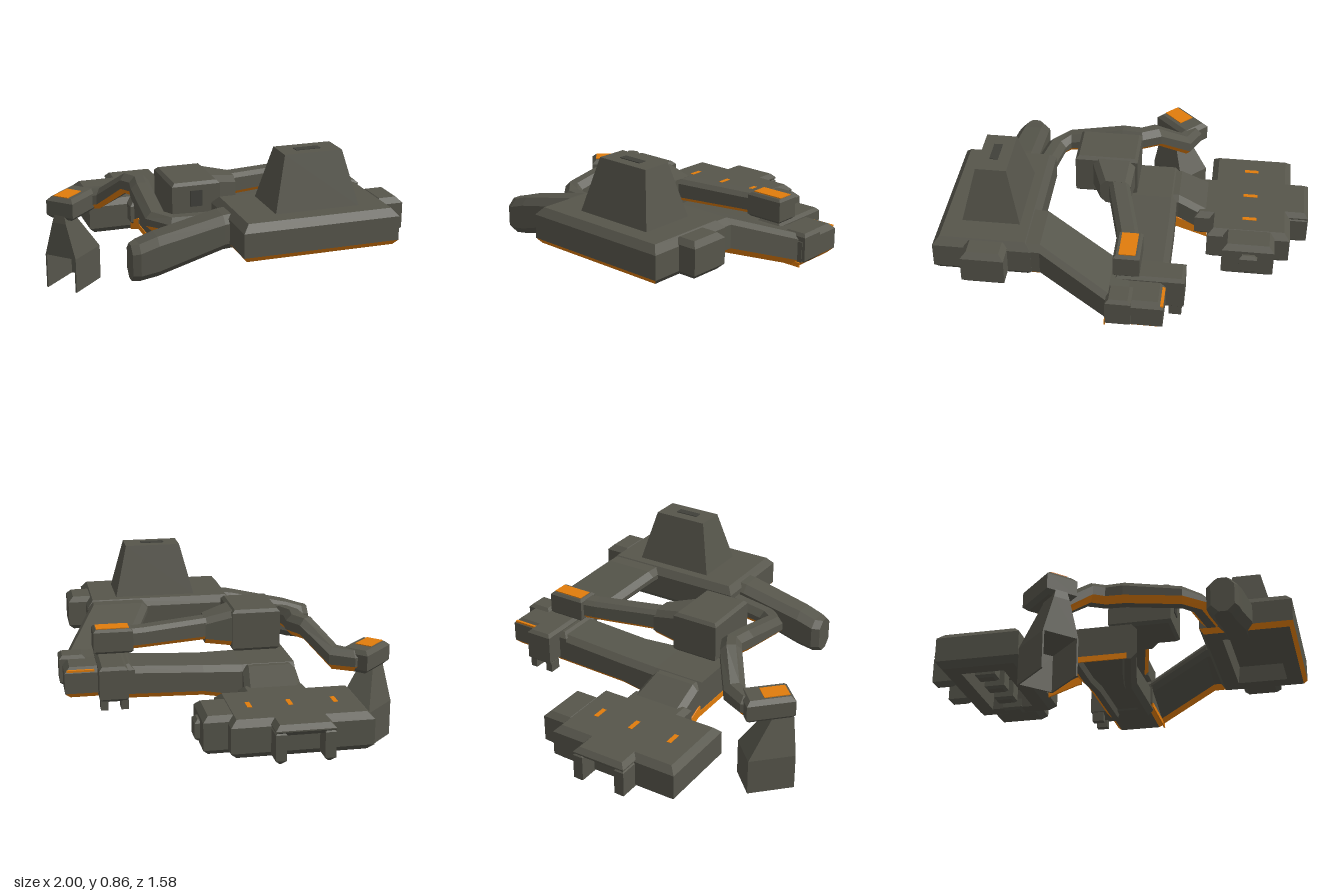
import * as THREE from 'three';

export function createModel() {
  const grey = new THREE.MeshStandardMaterial({ color: 0x56554b });
  grey.name = 'warm dark grey';
  const orange = new THREE.MeshStandardMaterial({ color: 0xe07c0c });
  orange.name = 'orange';
  const dark = new THREE.MeshStandardMaterial({ color: 0x40403a });
  dark.name = 'slot grey';
  const V = (x, y, z) => new THREE.Vector3(x, y, z);

  const model = new THREE.Group();
  model.name = 'foldedMachine';
  // Most parts lie on a grid turned by 45 degrees
  const turned = new THREE.Group();
  turned.name = 'diagonalAssembly';
  turned.rotation.y = -Math.PI / 4;
  model.add(turned);

  // Skin a row of closed loops; isOrange(band, side) picks the colour of each facet
  function loft(name, loops, isOrange = () => false, parent = turned) {
    const tris = [[], []];
    const n = loops[0].length;
    for (let i = 0; i < loops.length - 1; i++) {
      for (let j = 0; j < n; j++) {
        const k = (j + 1) % n, A = loops[i], B = loops[i + 1];
        tris[isOrange(i, j) ? 1 : 0].push([A[j], A[k], B[k]], [A[j], B[k], B[j]]);
      }
    }
    const cap = (loop, flip) => {
      const nor = V(0, 0, 0);
      loop.forEach((p, i) => nor.add(p.clone().cross(loop[(i + 1) % n])));
      nor.normalize();
      const u = (Math.abs(nor.y) > 0.9 ? V(1, 0, 0) : V(0, 1, 0)).cross(nor).normalize();
      const v = nor.clone().cross(u);
      const flat = loop.map(p => new THREE.Vector2(p.dot(u), p.dot(v)));
      for (const [a, b, c] of THREE.ShapeUtils.triangulateShape(flat, [])) {
        tris[0].push(flip ? [loop[a], loop[c], loop[b]] : [loop[a], loop[b], loop[c]]);
      }
    };
    cap(loops[0], true);
    cap(loops[loops.length - 1], false);
    // Turn the skin inside out when its volume is negative
    let volume = 0;
    tris.flat().forEach(([a, b, c]) => { volume += a.dot(b.clone().cross(c)); });
    const pos = [], geo = new THREE.BufferGeometry();
    tris.forEach((list, m) => {
      geo.addGroup(pos.length / 3, list.length * 3, m);
      list.forEach(([a, b, c]) => (volume < 0 ? [a, c, b] : [a, b, c]).forEach(p => pos.push(p.x, p.y, p.z)));
    });
    geo.setAttribute('position', new THREE.Float32BufferAttribute(pos, 3));
    geo.computeVertexNormals();
    const mesh = new THREE.Mesh(geo, [grey, orange]);
    mesh.name = name;
    parent.add(mesh);
  }

  // Rectangle [x0, x1, z0, z1] stacked through levels of [height, inset]
  const slab = (name, [x0, x1, z0, z1], levels, isOrange, parent) =>
    loft(name, levels.map(([y, d]) => [
      V(x0 + d, y, z0 + d), V(x1 - d, y, z0 + d), V(x1 - d, y, z1 - d), V(x0 + d, y, z1 - d),
    ]), isOrange, parent);
  // Block with chamfered top and bottom edges
  const block = (name, rect, y0, y1, c = 0.025, isOrange, parent) =>
    slab(name, rect, [[y0, c], [y0 + c, 0], [y1 - c, 0], [y1, c]], isOrange, parent);

  // Chamfered beam through stations [ax, az, bx, bz, bottom, top].
  // Underside is flat, grooved (channel) or climbs towards the b side behind a small lip (rise).
  function beam(name, stations, { c = 0.028, orangeAt, channel = 0, rise = 0, parent } = {}) {
    const loops = stations.map(([ax, az, bx, bz, y0, y1]) => {
      const L = Math.hypot(bx - ax, bz - az);
      const P = (t, y) => V(ax + (bx - ax) * t / L, y, az + (bz - az) * t / L);
      const under = channel
        ? [P(0.06, y0), P(0.07, y0 + channel), P(L - 0.07, y0 + channel), P(L - 0.06, y0)]
        : rise ? [P(c + 0.02, y0 + c)] : [];
      return [P(0, y0 + c), P(c, y0), ...under, P(L - c, y0 + rise), P(L, y0 + c + rise),
        P(L, y1 - c), P(L - c, y1), P(c, y1), P(0, y1 - c)];
    });
    loft(name, loops, orangeAt, parent);
  }
  // Slim beam along centre points [x, z, bottom, top], orange on both lower edges
  function arm(name, pts, width, options) {
    beam(name, pts.map(([x, z, y0, y1], i) => {
      const p = pts[Math.max(i - 1, 0)], q = pts[Math.min(i + 1, pts.length - 1)];
      const L = Math.hypot(q[0] - p[0], q[1] - p[1]);
      const nx = -(q[1] - p[1]) / L * width / 2, nz = (q[0] - p[0]) / L * width / 2;
      return [x - nx, z - nz, x + nx, z + nz, y0, y1];
    }), { orangeAt: (i, j) => j === 0 || j === 2, ...options });
  }
  const box = (name, mat, [x0, x1, y0, y1, z0, z1], parent = turned) => {
    const m = new THREE.Mesh(new THREE.BoxGeometry(x1 - x0, y1 - y0, z1 - z0), mat);
    m.position.set((x0 + x1) / 2, (y0 + y1) / 2, (z0 + z1) / 2);
    m.name = name;
    parent.add(m);
  };

  // Upper hull with a hollow underside, end tab and tower
  slab('upperHull', [0.31, 0.77, -0.645, 0.11],
    [[0.52, 0.11], [0.43, 0.1], [0.43, 0.02], [0.455, 0], [0.57, 0], [0.605, 0.03]],
    (i, j) => i === 2 && (j === 1 || j === 2));
  block('hullEndTab', [0.42, 0.62, -0.735, -0.6], 0.43, 0.603);
  slab('tower', [0.385, 0.66, -0.49, -0.08], [[0.6, 0], [0.86, 0.065]]);
  box('towerSlot', dark, [0.505, 0.545, 0.858, 0.863, -0.34, -0.22]);

  // Sloping boom in front of the hull
  beam('frontBoom', [
    [0.405, 0.0, 0.575, 0.0, 0.43, 0.6],
    [0.405, 0.13, 0.575, 0.13, 0.42, 0.585],
    [0.412, 0.44, 0.568, 0.44, 0.325, 0.515],
    [0.415, 0.525, 0.565, 0.525, 0.31, 0.487],
    [0.44, 0.56, 0.55, 0.56, 0.31, 0.48],
  ], { c: 0.035 });

  // Link from the hull down to the rear joint
  beam('rearLink', [
    [0.4, -0.64, 0.4, -0.33, 0.43, 0.6],
    [0.27, -0.645, 0.27, -0.34, 0.43, 0.6],
    [-0.06, -0.79, -0.06, -0.48, 0.31, 0.47],
    [-0.15, -0.8, -0.15, -0.49, 0.31, 0.46],
  ], { rise: 0.09, orangeAt: (i, j) => j < 2 });
  block('rearJoint', [-0.315, -0.05, -0.81, -0.48], 0.31, 0.46, 0.025, (i, j) => i === 0 && j !== 2);
  box('rearJointFrontLip', orange, [-0.052, -0.045, 0.31, 0.333, -0.8, -0.49]);
  box('rearJointBackStripe', orange, [-0.315, -0.301, 0.44, 0.449, -0.8, -0.67]);
  block('rearJointTab', [-0.4, -0.08, -0.655, -0.52], 0.31, 0.48, 0.015);
  block('rearJointCap', [-0.17, -0.053, -0.825, -0.7], 0.33, 0.475, 0.015);
  for (const r of [-0.65, -0.555]) box('jointProng', grey, [-0.39, -0.33, 0.27, 0.32, r, r + 0.035]);

  // Lower link from rear joint to elbow, orange along its back and end edges
  beam('lowerLink', [
    [-0.315, -0.55, -0.06, -0.55, 0.29, 0.45],
    [-0.315, -0.15, -0.06, -0.15, 0.28, 0.43],
    [-0.31, 0.04, -0.02, 0.04, 0.245, 0.42],
    [-0.31, 0.3, 0.04, 0.3, 0.24, 0.42],
  ], { channel: 0.03, orangeAt: (i, j) => j === 0 });
  box('elbowStripe', orange, [-0.315, -0.01, 0.242, 0.27, 0.297, 0.304]);
  // Connector from elbow to the side pod, with an orange rail under each edge
  beam('podConnector', [
    [-0.29, 0.04, -0.29, 0.3, 0.27, 0.42],
    [-0.32, 0.04, -0.32, 0.3, 0.27, 0.42],
    [-0.46, 0.02, -0.46, 0.3, 0.215, 0.36],
    [-0.52, 0.02, -0.52, 0.3, 0.215, 0.35],
  ]);
  for (const r of [0.035, 0.297]) {
    beam('connectorRail', [
      [-0.3, r, -0.3, r + 0.008, 0.243, 0.3],
      [-0.32, r, -0.32, r + 0.008, 0.24, 0.3],
      [-0.47, r, -0.47, r + 0.008, 0.188, 0.235],
    ], { c: 0.002, orangeAt: () => true });
  }

  // Side pod: hollow core and stepped tabs around it
  slab('podCore', [-0.885, -0.475, -0.13, 0.525],
    [[0.27, 0.11], [0.18, 0.1], [0.18, 0.03], [0.21, 0], [0.33, 0], [0.36, 0.03]]);
  // Open-faced side tab: a roof on two cheeks
  block('podSideTabRoof', [-0.975, -0.82, 0.05, 0.322], 0.31, 0.36, 0.022);
  for (const r of [0.05, 0.272]) block('podSideTabCheek', [-0.975, -0.86, r, r + 0.05], 0.18, 0.34, 0.02);
  block('podInnerTab', [-0.56, -0.405, 0.0, 0.32], 0.225, 0.36);
  block('podEndTab', [-0.81, -0.555, -0.24, -0.08], 0.18, 0.36);
  block('podEndNub', [-0.73, -0.64, -0.265, -0.2], 0.22, 0.32, 0.015);
  for (const r of [-0.06, 0.08, 0.22, 0.36]) {
    block('podBellyRib', [-0.73, -0.63, r - 0.035, r + 0.035], 0.17, 0.28, 0.012);
  }
  for (const r of [-0.01, 0.18, 0.39]) {
    box('podTopMark', orange, [-0.715, -0.645, 0.357, 0.362, r - 0.011, r + 0.011]);
  }

  // Shoulder block above the elbow, with the raised lead-in from the upper arm
  block('shoulderBlock', [-0.11, 0.2, 0.03, 0.27], 0.43, 0.64, 0.015);
  beam('shoulderSlope', [
    [-0.09, -0.1, 0.06, -0.1, 0.47, 0.6],
    [-0.1, 0.05, 0.12, 0.05, 0.45, 0.635],
  ], { orangeAt: (i, j) => j === 0 });
  box('shoulderNotch', dark, [0.196, 0.204, 0.52, 0.6, 0.12, 0.18]);

  // Upper arm back to its head
  arm('upperArm', [
    [-0.13, -0.52, 0.49, 0.59],
    [-0.11, -0.42, 0.49, 0.59],
    [-0.03, -0.08, 0.49, 0.6],
    [-0.02, 0.05, 0.49, 0.6],
  ], 0.1, { c: 0.02 });
  block('upperArmHead', [-0.192, -0.07, -0.66, -0.47], 0.48, 0.6, 0.012);
  box('upperArmHeadPanel', orange, [-0.172, -0.094, 0.599, 0.604, -0.645, -0.487]);

  // Slim jointed arm reaching to the claw
  arm('clawArm', [
    [0.24, 0.3, 0.46, 0.55],
    [0.15, 0.37, 0.45, 0.54],
    [0.02, 0.46, 0.45, 0.535],
    [-0.07, 0.46, 0.45, 0.545],
    [-0.26, 0.26, 0.49, 0.6],
    [-0.32, 0.18, 0.5, 0.605],
    [-0.4, 0.155, 0.5, 0.605],
    [-0.57, 0.13, 0.385, 0.495],
    [-0.65, 0.16, 0.38, 0.485],
    [-0.67, 0.24, 0.38, 0.485],
  ], 0.105, { c: 0.03, parent: model });
  block('clawHead', [-0.745, -0.59, 0.14, 0.375], 0.375, 0.49, 0.02, undefined, model);
  box('clawHeadPanel', orange, [-0.715, -0.63, 0.489, 0.494, 0.23, 0.354], model);

  // Flared claw: tapered neck over a skirt open at front and bottom
  const ring = (x0, x1, z0, z1, y) => [V(x0, y, z0), V(x1, y, z0), V(x1, y, z1), V(x0, y, z1)];
  loft('clawNeck', [
    ring(-0.76, -0.58, 0.15, 0.38, 0.18),
    ring(-0.71, -0.63, 0.27, 0.38, 0.36),
    ring(-0.7, -0.64, 0.27, 0.375, 0.4),
  ], undefined, model);
  box('clawLeftPlate', grey, [-0.588, -0.58, 0, 0.18, 0.15, 0.38], model);
  box('clawRightPlate', grey, [-0.76, -0.752, 0, 0.18, 0.15, 0.38], model);
  box('clawBackPlate', grey, [-0.752, -0.588, 0, 0.18, 0.15, 0.158], model);

  return model;
}
